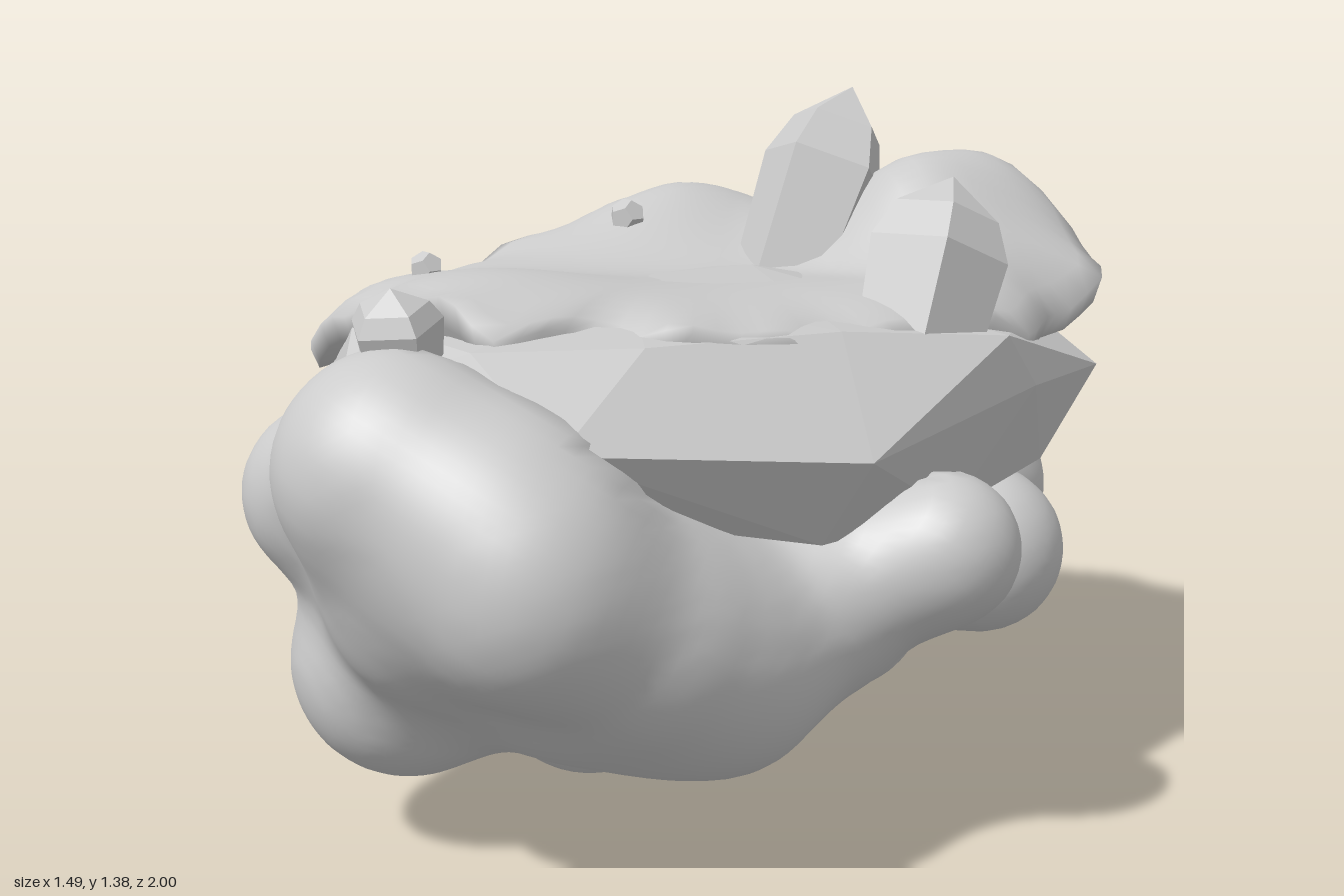
import * as THREE from 'three';
import { mergeVertices } from 'three/addons/utils/BufferGeometryUtils.js';
import { ConvexGeometry } from 'three/addons/geometries/ConvexGeometry.js';

const smooth = new THREE.MeshStandardMaterial({ color: 0xcccccc });
const sheet = new THREE.MeshStandardMaterial({ color: 0xcccccc, side: THREE.DoubleSide });
const faceted = new THREE.MeshStandardMaterial({ color: 0xcccccc, flatShading: true });

function named(name, geometry, material) {
  const mesh = new THREE.Mesh(geometry, material);
  mesh.name = name;
  return mesh;
}

// Cloud lobes, then the fillers that join them: x, y, z, radius
const puffs = [
  [0.2, 0.82, 0.78, 0.215], [0.44, 0.65, 0.66, 0.21], [-0.565, 0.64, 0.36, 0.18],
  [-0.11, 0.71, 0.73, 0.17], [-0.08, 0.37, 0.6, 0.225], [0.18, 0.58, 0.68, 0.2],
  [-0.17, 0.215, 0.12, 0.215], [-0.15, 0.25, -0.53, 0.21], [0.43, 0.43, 0.27, 0.21],
  [0.6, 0.61, -0.13, 0.145], [0.35, 0.49, -0.48, 0.17], [-0.05, 0.49, -0.79, 0.21],
  [-0.46, 0.52, -0.06, 0.18], [-0.37, 0.52, -0.45, 0.18], [-0.4, 0.48, 0.33, 0.21],
  [0.37, 0.74, 0.67, 0.19], [0.42, 0.5, 0.02, 0.18], [0.46, 0.52, 0.45, 0.19],
  [0.2, 0.5, 0.38, 0.29], [-0.18, 0.48, 0.33, 0.3], [0.14, 0.5, -0.15, 0.27], [-0.12, 0.48, -0.3, 0.28],
  [-0.35, 0.39, 0.06, 0.22], [-0.13, 0.38, -0.2, 0.2], [0.08, 0.48, -0.5, 0.22], [-0.18, 0.47, -0.6, 0.21],
];

// Smoothly blended distance to all puffs
function cloudDistance(p) {
  const blend = 0.14;
  let d = 9;
  for (const [x, y, z, r] of puffs) {
    const s = Math.hypot(p.x - x, p.y - y, p.z - z) - r;
    const h = Math.max(blend - Math.abs(d - s), 0) / blend;
    d = Math.min(d, s) - h * h * blend / 4;
  }
  return d;
}

// A fine ball shrunk inwards until it wraps the puffs
function makeCloud() {
  let geo = new THREE.IcosahedronGeometry(1, 38);
  geo.deleteAttribute('normal');
  geo.deleteAttribute('uv');
  geo = mergeVertices(geo);
  const pos = geo.attributes.position;
  const centre = new THREE.Vector3(0, 0.5, 0), stretch = new THREE.Vector3(1, 0.8, 1.3);
  const dir = new THREE.Vector3(), p = new THREE.Vector3();
  for (let i = 0; i < pos.count; i++) {
    dir.fromBufferAttribute(pos, i).multiply(stretch).normalize();
    let t = 1.4;
    for (let n = 0; n < 70; n++) {
      const d = cloudDistance(p.copy(centre).addScaledVector(dir, t));
      if (d < 0.001 || t < 0.05) break;
      t -= d;
    }
    pos.setXYZ(i, p.x, p.y, p.z);
  }
  geo.computeVertexNormals();
  return named('cloud', geo, smooth);
}

// Faceted rock slab: underside, widest ring and top ring
function makeRock() {
  const points = [
    [-0.5, 0.68, 0.2], [-0.42, 0.66, -0.6], [0, 0.68, -0.92], [0.38, 0.66, -0.62], [0.5, 0.64, -0.25],
    [0.55, 0.65, 0.12], [0.42, 0.72, 0.45], [0, 0.74, 0.55], [-0.35, 0.74, 0.45],
    [-0.64, 0.87, 0.1], [-0.58, 0.85, -0.45], [-0.4, 0.84, -0.85], [0.02, 0.82, -0.95], [0.36, 0.83, -0.8],
    [0.52, 0.86, -0.45], [0.66, 0.82, 0.1], [0.48, 0.88, 0.64], [0.02, 0.92, 0.79], [-0.43, 0.88, 0.55],
    [-0.47, 0.98, 0.4], [-0.53, 0.97, -0.2], [-0.38, 0.9, -0.8], [0.1, 0.9, -0.87], [0.4, 0.94, -0.5],
    [0.53, 0.97, -0.36], [0.46, 1.01, 0], [0.4, 1.02, 0.4], [0.25, 1.02, 0.66], [-0.25, 1.0, 0.6],
    [0.08, 1.06, 0.2], [0.02, 1.06, -0.15],
  ];
  return named('rockSlab', new ConvexGeometry(points.map((p) => new THREE.Vector3(...p))), faceted);
}

const bump = (x, z, cx, cz, w, l, power = 2) => Math.exp(-(((x - cx) / w) ** 2) - ((z - cz) / l) ** power);

// Gentle ground with a long back hump, a side mound and a front swell
function turfHeight(x, z) {
  return 1.04 + 0.22 * bump(x, z, 0.06, -0.66, 0.22, 0.26, 4) + 0.12 * bump(x, z, -0.46, -0.34, 0.2, 0.28)
    + 0.06 * bump(x, z, 0.05, 0.48, 0.4, 0.3) + 0.008 * Math.sin(9 * x + 5 * z);
}

// Draped turf with a ragged rim that tucks into the rock
function makeTurf() {
  const outline = [
    [-0.6, -0.72], [-0.47, -0.76], [-0.4, -0.88], [-0.2, -0.93], [0, -0.93], [0.2, -0.87], [0.38, -0.79],
    [0.4, -0.62], [0.49, -0.45], [0.48, -0.2], [0.46, 0.1], [0.4, 0.33], [0.26, 0.42], [0.24, 0.62],
    [0, 0.63], [-0.4, 0.62], [-0.48, 0.4], [-0.57, 0.1], [-0.61, -0.3],
  ].map(([x, z]) => new THREE.Vector3(x, 0, z));
  const edge = new THREE.CatmullRomCurve3(outline, true, 'catmullrom', 0.25).getSpacedPoints(96).slice(0, -1);
  const rows = 16, cols = edge.length;
  const vertices = [], index = [];
  for (let j = 0; j <= rows + 2; j++) {
    const t = j <= rows ? j / rows : j === rows + 1 ? 0.98 : 0.86;
    edge.forEach((e, i) => {
      const x = -0.06 + (e.x + 0.06) * t, z = -0.1 + (e.z + 0.1) * t;
      const ragged = Math.sin(i * 0.52) * 0.02 + Math.sin(i * 1.31) * 0.012;
      // The right rim and front left corner droop most, the front rim least
      const droop = (0.04 + 0.05 * bump(x, z, 0.45, -0.55, 0.2, 0.3) + 0.1 * bump(x, z, -0.42, 0.6, 0.12, 0.15)
        - 0.03 * bump(x, z, 0.05, 0.62, 0.25, 0.2) + ragged) * t ** 8;
      let y = turfHeight(x, z) - droop;
      if (j === rows + 1) y -= 0.06;
      if (j === rows + 2) y = 0.9;
      vertices.push(x, y, z);
      if (j < rows + 2) {
        const a = j * cols + i, b = j * cols + (i + 1) % cols;
        index.push(a, b, b + cols, a, b + cols, a + cols);
      }
    });
  }
  const geo = new THREE.BufferGeometry();
  geo.setAttribute('position', new THREE.Float32BufferAttribute(vertices, 3));
  // The outline runs clockwise from above, so reverse it to face up
  geo.setIndex(index.reverse());
  geo.computeVertexNormals();
  return named('turf', geo, sheet);
}

// Pointed crystal running from a base to a tip
function makeCrystal(name, base, tip, radius, sides, turn) {
  const from = new THREE.Vector3(...base), axis = new THREE.Vector3(...tip).sub(from);
  const L = axis.length();
  const profile = [[0, 0], [radius * 0.85, 0], [radius, L * 0.6], [radius * 0.75, L * 0.8], [0, L]]
    .map(([r, y]) => new THREE.Vector2(r, y));
  const mesh = named(name, new THREE.LatheGeometry(profile, sides, turn), faceted);
  mesh.position.copy(from);
  mesh.quaternion.setFromUnitVectors(new THREE.Vector3(0, 1, 0), axis.normalize());
  return mesh;
}

export function createModel() {
  const model = new THREE.Group();
  model.name = 'cloudIsland';
  model.add(makeCloud(), makeRock(), makeTurf());
  model.add(
    makeCrystal('tallCrystal', [-0.09, 0.98, -0.33], [-0.12, 1.38, -0.54], 0.135, 5, 0.3),
    makeCrystal('sideCrystal', [0.41, 0.9, -0.22], [0.35, 1.25, -0.38], 0.14, 5, 0.9),
    makeCrystal('frontCrystal', [0.14, 0.97, 0.73], [0.16, 1.13, 0.76], 0.085, 5, 0.2),
  );
  // Loose pebbles on the turf
  for (const [x, y, z, r] of [[-0.38, 1.11, -0.14, 0.04], [-0.23, 1.08, 0.45, 0.035]]) {
    const pebble = named('pebble', new THREE.DodecahedronGeometry(r), faceted);
    pebble.position.set(x, y, z);
    model.add(pebble);
  }
  return model;
}
